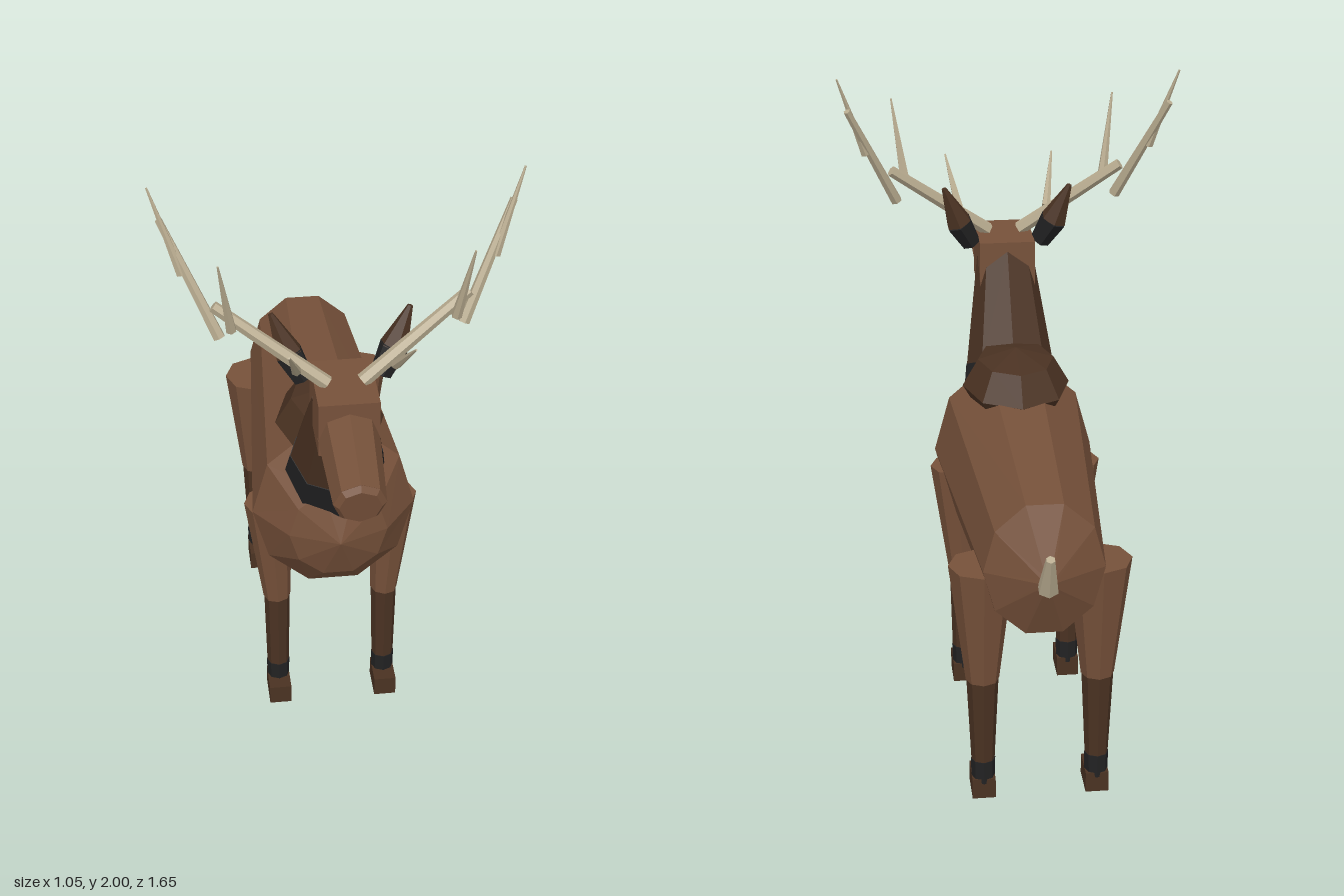
import * as THREE from 'three';

const mat = (name, color) => Object.assign(new THREE.MeshStandardMaterial({ color }), { name });

export function createModel() {
  const coat = mat('coatBrown', 0x76513a);
  const dark = mat('darkBrown', 0x4a3222);
  const black = mat('black', 0x222223);
  const horn = mat('hornTan', 0xb8ab8f);
  const model = new THREE.Group();
  model.name = 'antleredAnimal';

  // Faceted mesh
  const add = (name, geo, material, parent = model) => {
    const g = geo.index ? geo.toNonIndexed() : geo;
    g.computeVertexNormals();
    const mesh = new THREE.Mesh(g, material);
    mesh.name = name;
    parent.add(mesh);
    return mesh;
  };

  // Tapered cylinder from a to b
  const limb = (name, a, b, ra, rb, material, parent = model, sides = 8) => {
    const A = new THREE.Vector3(...a), B = new THREE.Vector3(...b);
    const dir = B.clone().sub(A);
    const mesh = add(name, new THREE.CylinderGeometry(rb, ra, dir.length(), sides), material, parent);
    mesh.quaternion.setFromUnitVectors(new THREE.Vector3(0, 1, 0), dir.normalize());
    mesh.position.copy(A).add(B).multiplyScalar(0.5);
    return mesh;
  };

  // Elliptical rings [z, centreY, radiusX, radiusY] joined front to back
  const loft = (rings, sides) => {
    const pos = [], idx = [];
    rings.forEach(([z, cy, rx, ry], r) => {
      for (let i = 0; i < sides; i++) {
        const a = ((i + 0.5) / sides) * Math.PI * 2;
        pos.push(rx * Math.sin(a), cy + ry * Math.cos(a), z);
        if (r === rings.length - 1) continue;
        const p = r * sides + i, q = r * sides + (i + 1) % sides;
        idx.push(p, q, p + sides, q, q + sides, p + sides);
      }
    });
    const g = new THREE.BufferGeometry();
    g.setAttribute('position', new THREE.Float32BufferAttribute(pos, 3));
    g.setIndex(idx);
    return g;
  };

  // Trunk with domed chest and rump
  add('body', loft([
    [0.39, 0.8, 0.001, 0.001], [0.33, 0.8, 0.15, 0.165], [0.2, 0.8, 0.25, 0.3],
    [-0.67, 0.805, 0.177, 0.216], [-0.75, 0.8, 0.02, 0.02], [-0.751, 0.8, 0.001, 0.001],
  ], 10), coat);

  // Shoulder hump
  const hump = add('shoulderHump', new THREE.SphereGeometry(1, 8, 4), dark);
  hump.scale.set(0.167, 0.12, 0.21);
  hump.position.set(0, 1.06, 0.1);

  // Neck with black collar at its base
  limb('collar', [0, 0.95, 0.22], [0, 1.06, 0.273], 0.155, 0.14, black);
  limb('neck', [0, 1.06, 0.273], [0, 1.37, 0.42], 0.138, 0.09, dark);

  // Hanging throat tuft
  limb('throatTuftTop', [0, 1.12, 0.47], [0, 1.2, 0.477], 0.047, 0.025, dark, model, 6);
  limb('throatTuft', [0, 1.05, 0.462], [0, 1.12, 0.47], 0.038, 0.047, dark, model, 6);
  limb('throatTuftTip', [0, 0.99, 0.456], [0, 1.05, 0.462], 0.014, 0.038, black, model, 6);

  // Head and muzzle
  add('head', new THREE.BoxGeometry(0.175, 0.17, 0.225), coat).position.set(0, 1.355, 0.452);
  limb('muzzle', [0, 1.322, 0.552], [0, 1.276, 0.8], 0.089, 0.075, coat);
  limb('noseTip', [0, 1.276, 0.8], [0, 1.273, 0.815], 0.075, 0.06, coat);

  // Upright tail
  limb('tail', [0, 0.785, -0.755], [0, 0.907, -0.808], 0.032, 0.014, horn, model, 6);

  for (const [side, s] of [['left', 1], ['right', -1]]) {
    const group = (name) => {
      const g = new THREE.Group();
      g.name = side + name;
      model.add(g);
      return g;
    };
    const part = (parent, name, [ax, ay, az], [bx, by, bz], ra, rb, m, n = 6) =>
      limb(name, [s * ax, ay, az], [s * bx, by, bz], ra, rb, m, parent, n);

    // Ears
    const ear = group('Ear');
    part(ear, 'earBase', [0.11, 1.425, 0.4], [0.15, 1.5, 0.378], 0.032, 0.043, black);
    part(ear, 'earTip', [0.15, 1.5, 0.378], [0.198, 1.62, 0.355], 0.043, 0.008, dark);

    // Antler beams and tines
    const antler = group('Antler');
    part(antler, 'lowerBeam', [0.05, 1.445, 0.46], [0.36, 1.675, 0.382], 0.022, 0.017, horn);
    part(antler, 'upperBeam', [0.345, 1.575, 0.39], [0.495, 1.9, 0.277], 0.018, 0.011, horn);
    part(antler, 'beamTip', [0.44, 1.75, 0.325], [0.523, 2.0, 0.275], 0.015, 0.003, horn);
    part(antler, 'middleTine', [0.315, 1.63, 0.44], [0.35, 1.875, 0.5], 0.016, 0.003, horn);
    part(antler, 'browTine', [0.14, 1.51, 0.485], [0.173, 1.65, 0.625], 0.015, 0.003, horn);

    // Legs: thigh, shin, ankle band and hoof
    for (const [name, z, top, knee] of [['Front', 0.125, 0.075, 0.043], ['Hind', -0.57, 0.097, 0.05]]) {
      const leg = group(name + 'Leg');
      part(leg, 'upperLeg', [0.172, 0.4, z], [0.27 - top, 0.78, z], knee, top, coat, 8);
      part(leg, 'lowerLeg', [0.172, 0.12, z], [0.172, 0.4, z], 0.035, knee - 0.002, dark, 8);
      part(leg, 'ankle', [0.172, 0.05, z], [0.172, 0.125, z], 0.035, 0.037, black, 8);
      add('hoof', new THREE.BoxGeometry(0.07, 0.065, 0.11), dark, leg)
        .position.set(s * 0.172, 0.0325, z + 0.023);
    }
  }
  return model;
}
